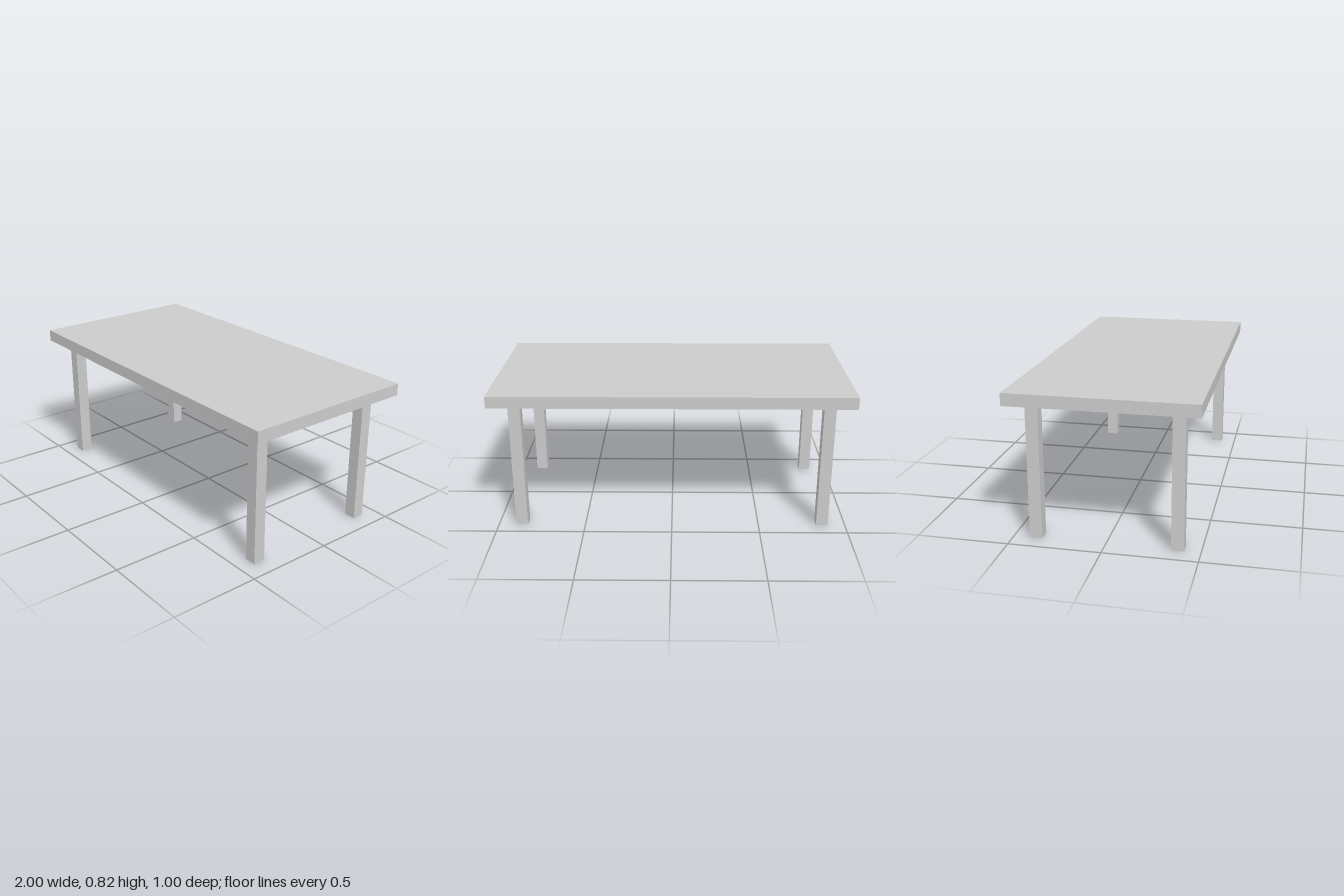
import * as THREE from 'three';

const TOP = { width: 2, thickness: 0.067, depth: 1 };
const LEG = { side: 0.067, height: 0.75, x: 0.867, z: 0.378 };

export function createModel() {
  const table = new THREE.Group();
  table.name = 'table';
  const material = new THREE.MeshStandardMaterial({ color: 0xcccccc });

  const addBox = (name, w, h, d, x, y, z) => {
    const mesh = new THREE.Mesh(new THREE.BoxGeometry(w, h, d), material);
    mesh.name = name;
    mesh.position.set(x, y, z);
    table.add(mesh);
  };

  // Slab resting on the legs
  addBox('tableTop', TOP.width, TOP.thickness, TOP.depth, 0, LEG.height + TOP.thickness / 2, 0);

  // Four square legs, mirrored across both axes
  for (const [sideName, sx] of [['Left', 1], ['Right', -1]]) {
    for (const [endName, sz] of [['front', 1], ['back', -1]]) {
      addBox(`${endName}${sideName}Leg`, LEG.side, LEG.height, LEG.side,
        sx * LEG.x, LEG.height / 2, sz * LEG.z);
    }
  }

  return table;
}
